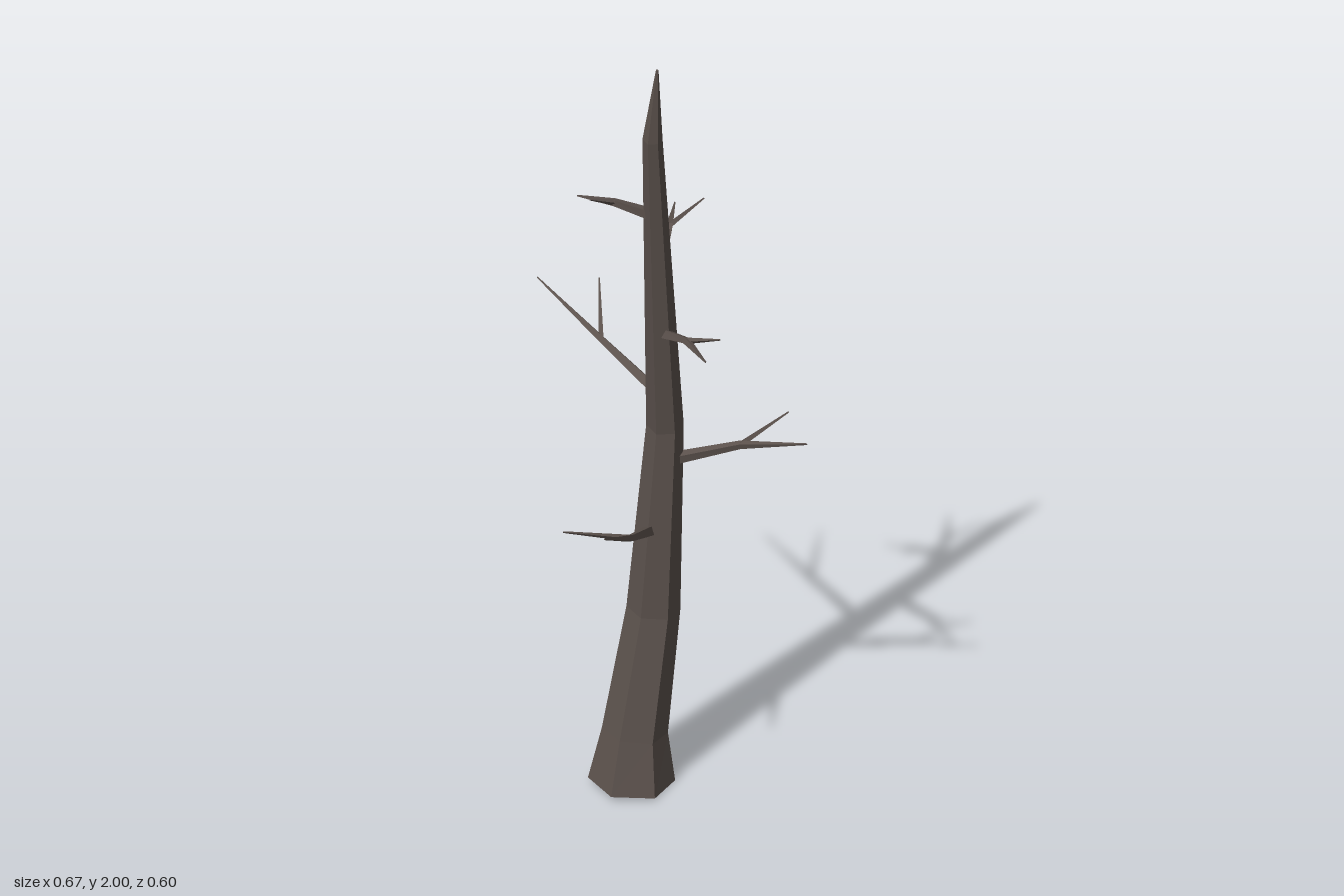
import * as THREE from 'three';

const UP = new THREE.Vector3(0, 1, 0);

// Faceted tapering limb: nodes are [x, y, z, radius], one ring of corners per node
function limbGeometry(nodes, sides, turn) {
  const centres = nodes.map(([x, y, z]) => new THREE.Vector3(x, y, z));
  const last = nodes.length - 1;
  const rings = nodes.map((node, i) => {
    const along = centres[Math.min(i + 1, last)].clone()
      .sub(centres[Math.max(i - 1, 0)]).normalize();
    const q = new THREE.Quaternion().setFromUnitVectors(UP, along);
    return Array.from({ length: sides }, (_, k) => {
      const a = turn + (k / sides) * Math.PI * 2;
      return new THREE.Vector3(Math.cos(a), 0, Math.sin(a))
        .multiplyScalar(node[3]).applyQuaternion(q).add(centres[i]);
    });
  });

  const points = [];
  for (let k = 0; k < sides; k++) {
    const n = (k + 1) % sides;
    for (let i = 0; i < last; i++) {
      const a = rings[i][k], b = rings[i][n], c = rings[i + 1][n], d = rings[i + 1][k];
      points.push(a, d, b, b, d, c);
    }
    points.push(centres[0], rings[0][k], rings[0][n]);
    points.push(centres[last], rings[last][n], rings[last][k]);
  }
  const geometry = new THREE.BufferGeometry().setFromPoints(points);
  geometry.computeVertexNormals(); // unshared corners keep the facets flat
  return geometry;
}

export function createModel() {
  const tree = new THREE.Group();
  tree.name = 'deadTree';
  const bark = new THREE.MeshStandardMaterial({ color: 0x5c524d });
  bark.name = 'greyBrownBark';

  const addLimb = (parent, name, nodes, sides, turn = 0) => {
    const mesh = new THREE.Mesh(limbGeometry(nodes, sides, turn), bark);
    mesh.name = name;
    parent.add(mesh);
  };

  // Six-sided trunk with a flared foot and a bent, pointed top
  addLimb(tree, 'trunk', [
    [0.003, 0.01, -0.016, 0.1],
    [0.008, 0.14, -0.022, 0.076],
    [0.02, 0.45, -0.07, 0.062],
    [0.055, 0.95, -0.072, 0.043],
    [0.143, 1.8, 0.058, 0.023],
    [0.172, 2.0, 0.072, 0.003],
  ], 6, 0.23);

  // Each branch: root in the trunk, fork, main tip, twig tip
  const branches = [
    [[0.035, 0.67, -0.05], [0.13, 0.757, 0.115], [0.227, 0.872, 0.3], [0.075, 0.82, 0.28]],
    [[0.05, 0.85, -0.08], [0.195, 0.91, -0.175], [0.333, 0.936, -0.253], [0.226, 0.957, -0.302]],
    [[0.055, 1.025, -0.065], [-0.14, 1.1, -0.062], [-0.338, 1.185, -0.055], [-0.26, 1.163, -0.178]],
    [[0.08, 1.22, -0.032], [0.215, 1.277, 0.02], [0.335, 1.295, 0.08], [0.32, 1.322, 0.018]],
    [[0.098, 1.39, -0.005], [0.028, 1.45, -0.115], [-0.047, 1.44, -0.208], [0.043, 1.487, -0.212]],
    [[0.118, 1.57, 0.022], [0.052, 1.607, 0.09], [-0.02, 1.615, 0.138], [0.04, 1.637, 0.157]],
  ];
  branches.forEach(([root, fork, tip, twigTip], i) => {
    const branch = new THREE.Group();
    branch.name = `branch${i + 1}`;
    addLimb(branch, 'branchStem', [[...root, 0.016], [...fork, 0.01], [...tip, 0.002]], 4);
    addLimb(branch, 'twig', [[...fork, 0.008], [...twigTip, 0.002]], 4);
    tree.add(branch);
  });
  return tree;
}
